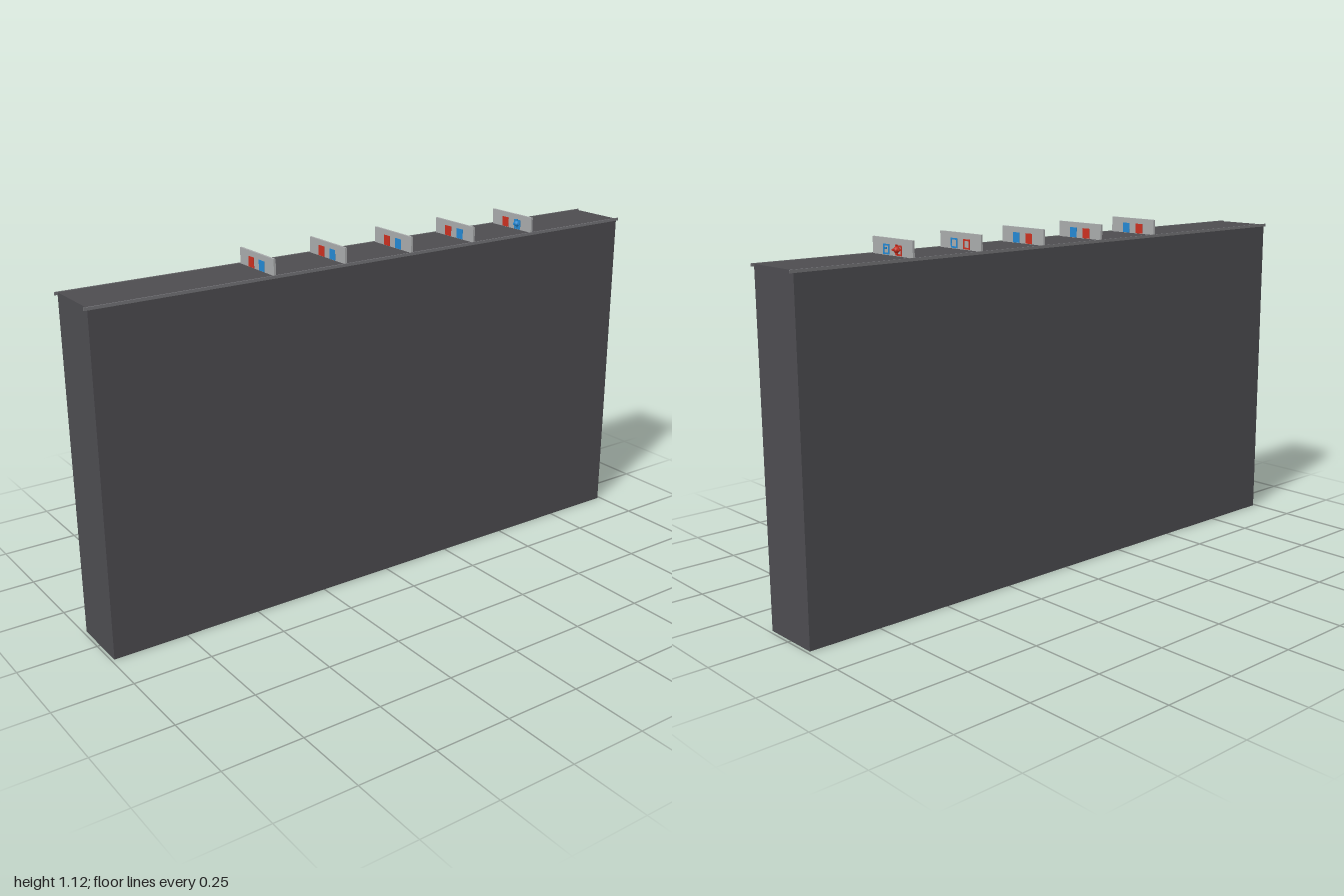
import * as THREE from 'three';

const mat = (name, color, side = THREE.FrontSide) => {
  const m = new THREE.MeshStandardMaterial({ color, side });
  m.name = name;
  return m;
};

export function createModel() {
  const model = new THREE.Group();
  const dark = mat('dark grey', 0x4d4c50);
  const rail = mat('rail grey', 0x747477);
  const pale = mat('pale grey', 0xa9abac);
  const red = mat('red', 0xcb3020);
  const blue = mat('blue', 0x2488d2);

  const add = (parent, name, geometry, material, x, y, z) => {
    const mesh = new THREE.Mesh(geometry, material);
    mesh.name = name;
    mesh.position.set(x, y, z);
    parent.add(mesh);
    return mesh;
  };
  const box = (parent, name, material, w, h, d, x, y, z) =>
    add(parent, name, new THREE.BoxGeometry(w, h, d), material, x, y, z);

  // Tall track block with a thin rail along each upper edge
  const top = 1.068;
  box(model, 'trackBlock', dark, 0.198, top, 1.98, 0, top / 2, 0);
  for (const s of [-1, 1]) {
    box(model, 'edgeRail', rail, 0.004, 0.009, 2, s * 0.098, 1.0655, 0);
  }

  // Square border around a gate target
  const frameGeometry = () => {
    const shape = new THREE.Shape([[-1, -1], [1, -1], [1, 1], [-1, 1]]
      .map(([x, y]) => new THREE.Vector2(x * 0.015, y * 0.015)));
    shape.holes.push(new THREE.Path([[-1, -1], [-1, 1], [1, 1], [1, -1]]
      .map(([x, y]) => new THREE.Vector2(x * 0.01, y * 0.01))));
    return new THREE.ExtrudeGeometry(shape, { depth: 0.002, bevelEnabled: false });
  };

  // Small faceted ball with six short pegs
  const pegBall = (parent, name, material, x, y, z) => {
    const group = new THREE.Group();
    group.name = name;
    group.position.set(x, y, z);
    add(group, 'ball', new THREE.IcosahedronGeometry(0.01, 1), material, 0, 0, 0);
    for (let i = 0; i < 3; i++) {
      const size = [0.005, 0.005, 0.005];
      size[i] = 0.03;
      box(group, 'peg', material, ...size, 0, 0, 0);
    }
    parent.add(group);
  };

  // Five gates across the track, each with a red and a blue target
  [0.405, 0.155, -0.095, -0.345, -0.595].forEach((z, i) => {
    const gate = new THREE.Group();
    gate.name = 'gate' + (i + 1);
    gate.position.set(0, top, z);
    model.add(gate);
    box(gate, 'gatePanel', pale, 0.192, 0.05, 0.007, 0, 0.025, 0);
    for (const [x, color, label] of [[-0.03, red, 'red'], [0.029, blue, 'blue']]) {
      box(gate, label + 'FrontTarget', color, 0.03, 0.032, 0.002, x, 0.017, 0.004);
      if (i < 3) box(gate, label + 'BackTarget', color, 0.03, 0.032, 0.002, x, 0.017, -0.004);
      else add(gate, label + 'BackFrame', frameGeometry(), color, x, 0.017, -0.005);
    }
    if (i === 4) {
      pegBall(gate, 'bluePegBall', blue, 0.029, 0.02, 0.006);
      pegBall(gate, 'redPegBall', red, -0.03, 0.02, -0.011);
    }
  });

  return model;
}
